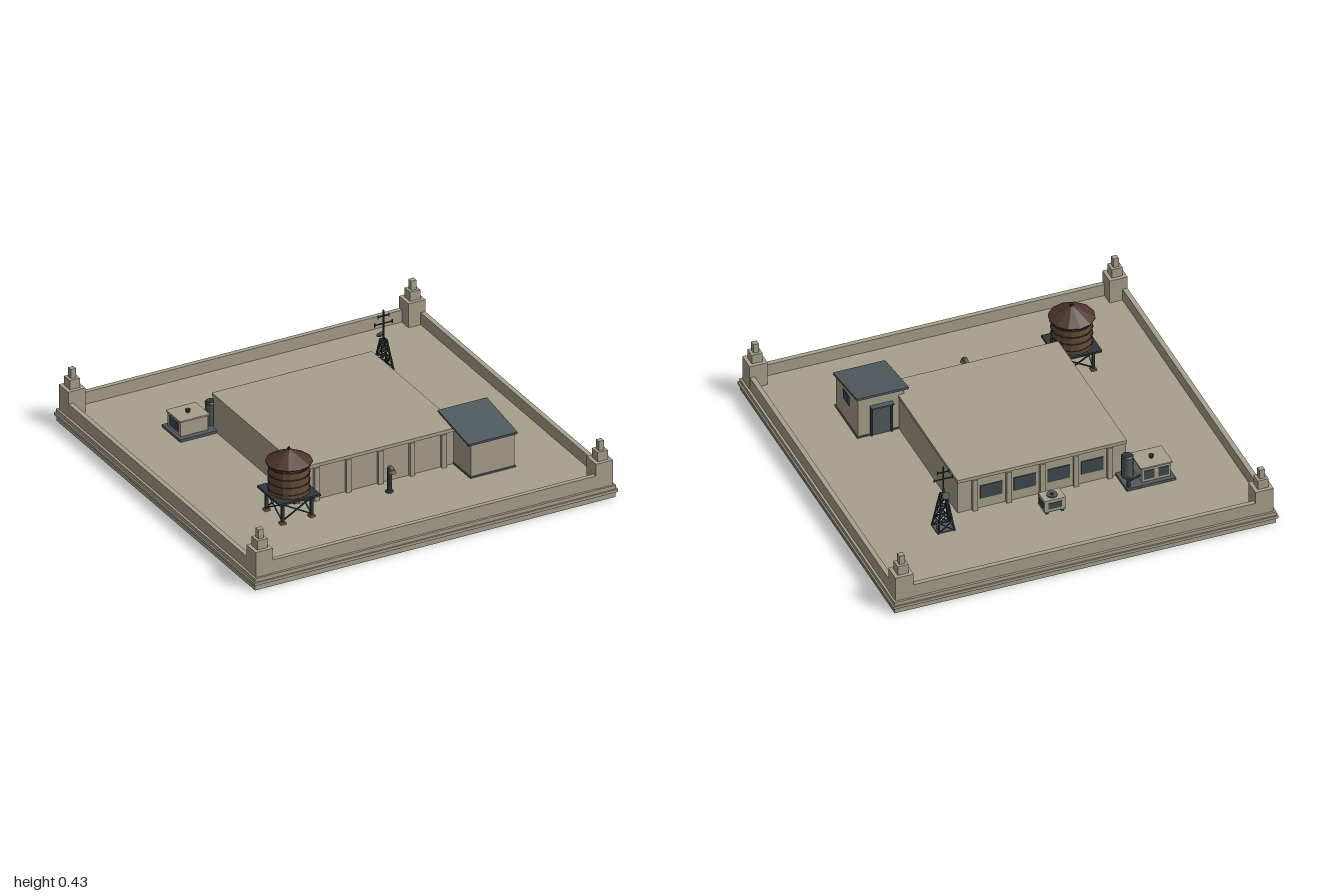
import * as THREE from 'three';

const mat = (name, color, extra = {}) => Object.assign(new THREE.MeshStandardMaterial({ color, ...extra }), { name });

export function createModel() {
  const root = new THREE.Group();
  root.name = 'rooftop';
  const stone = mat('stone', 0xa8a08c);
  const slate = mat('slate metal', 0x50595d);
  const glass = mat('dark glass', 0x3d494f);
  const wood = mat('barrel wood', 0x684c33);
  const rust = mat('rust roof', 0x4d342d);
  const iron = mat('dark iron', 0x30363a);
  const copper = mat('copper', 0x87603f);
  const FLOOR = 0.07;

  const group = (name, x = 0, y = 0, z = 0) => {
    const g = new THREE.Group();
    g.name = name;
    g.position.set(x, y, z);
    root.add(g);
    return g;
  };
  const add = (parent, name, geo, m, x = 0, y = 0, z = 0) => {
    const mesh = new THREE.Mesh(geo, m);
    mesh.name = name;
    mesh.position.set(x, y, z);
    parent.add(mesh);
    return mesh;
  };
  // box given by its centre in x and z, and its bottom and top
  const box = (p, name, m, x, z, w, d, y0, y1) =>
    add(p, name, new THREE.BoxGeometry(w, y1 - y0, d), m, x, (y0 + y1) / 2, z);
  const cyl = (p, name, m, x, z, r0, r1, y0, y1, n = 12) =>
    add(p, name, new THREE.CylinderGeometry(r1, r0, y1 - y0, n), m, x, (y0 + y1) / 2, z);
  // thin square bar between two points
  const bar = (p, name, m, a, b, t) => {
    const A = new THREE.Vector3(...a), B = new THREE.Vector3(...b);
    const mesh = add(p, name, new THREE.BoxGeometry(t, A.distanceTo(B), t), m);
    mesh.position.copy(A).add(B).multiplyScalar(0.5);
    mesh.quaternion.setFromUnitVectors(new THREE.Vector3(0, 1, 0), B.sub(A).normalize());
    return mesh;
  };

  // base slab, string courses and parapet
  const base = group('base');
  box(base, 'foot', stone, 0, 0, 1.98, 1.98, 0, 0.03);
  box(base, 'ledge', stone, 0, 0, 2, 2, 0.03, 0.045);
  box(base, 'upperLedge', stone, 0, 0, 1.985, 1.985, 0.045, 0.065);
  box(base, 'roofDeck', stone, 0, 0, 1.94, 1.94, 0.06, FLOOR);
  const square = (Type, h) => new Type([[-h, -h], [h, -h], [h, h], [-h, h]].map(p => new THREE.Vector2(...p)));
  const ring = square(THREE.Shape, 0.98);
  ring.holes.push(square(THREE.Path, 0.955));
  const parapet = add(base, 'parapet', new THREE.ExtrudeGeometry(ring, { depth: 0.071, bevelEnabled: false }), stone, 0, 0.064, 0);
  parapet.rotation.x = -Math.PI / 2;
  for (const sx of [-1, 1]) for (const sz of [-1, 1]) {
    const post = group('cornerPost', sx * 0.935, 0, sz * 0.935);
    box(post, 'lowerTier', stone, 0, 0, 0.094, 0.094, 0.065, 0.2);
    box(post, 'middleTier', stone, 0, 0, 0.056, 0.056, 0.2, 0.25);
    box(post, 'topTier', stone, 0, 0, 0.028, 0.028, 0.25, 0.3);
  }

  // main block with pilasters, and windows at the back
  const hall = group('mainBlock');
  box(hall, 'walls', stone, 0, 0, 0.875, 0.86, FLOOR, 0.25);
  box(hall, 'roofSlab', stone, 0, 0, 0.88, 0.88, 0.25, 0.268);
  for (let i = -2; i <= 2; i++) for (const s of [-1, 1])
    box(hall, 'pilaster', stone, i * 0.175, s * 0.435, 0.026, 0.026, FLOOR, 0.25);
  for (let i = -1.5; i <= 1.5; i++)
    box(hall, 'window', glass, i * 0.175, -0.431, 0.115, 0.008, 0.125, 0.2);

  // stair hut with a sloping roof
  const hut = group('stairHut');
  const profile = new THREE.Shape([[-0.6, FLOOR], [-0.32, FLOOR], [-0.32, 0.294], [-0.6, 0.252]].map(p => new THREE.Vector2(...p)));
  const hutGeo = new THREE.ExtrudeGeometry(profile, { depth: 0.24, bevelEnabled: false });
  hutGeo.rotateY(Math.PI / 2);
  add(hut, 'hutWalls', hutGeo, stone, 0.41, 0, 0);
  box(hut, 'hutPlinth', slate, 0.53, 0.46, 0.25, 0.29, FLOOR, 0.078);
  const slope = add(hut, 'hutRoof', new THREE.BoxGeometry(0.27, 0.011, 0.31), slate, 0.525, 0.281, 0.46);
  slope.rotation.x = 0.148;
  box(hut, 'hutFascia', iron, 0.525, 0.608, 0.27, 0.008, 0.251, 0.262);
  box(hut, 'sideWindowFrame', iron, 0.651, 0.465, 0.006, 0.074, 0.19, 0.24);
  box(hut, 'sideWindow', glass, 0.653, 0.465, 0.006, 0.064, 0.195, 0.235);
  box(hut, 'door', slate, 0.53, 0.317, 0.095, 0.008, FLOOR, 0.225);
  for (const s of [-1, 1]) box(hut, 'doorJamb', iron, 0.53 + s * 0.052, 0.314, 0.01, 0.014, FLOOR, 0.235);
  box(hut, 'doorCanopy', slate, 0.53, 0.306, 0.116, 0.03, 0.235, 0.243);

  // water tower
  const tower = group('waterTower', -0.53, 0, 0.492);
  for (const sx of [-1, 1]) for (const sz of [-1, 1]) {
    box(tower, 'towerLeg', iron, sx * 0.08, sz * 0.08, 0.014, 0.014, FLOOR, 0.185);
    box(tower, 'towerFoot', copper, sx * 0.08, sz * 0.08, 0.028, 0.028, FLOOR, 0.08);
  }
  for (const s of [-1, 1]) for (const t of [-1, 1]) {
    bar(tower, 'towerBrace', iron, [-0.08 * t, 0.085, s * 0.08], [0.08 * t, 0.175, s * 0.08], 0.006);
    bar(tower, 'towerBrace', iron, [s * 0.08, 0.085, -0.08 * t], [s * 0.08, 0.175, 0.08 * t], 0.006);
  }
  for (const x of [-0.08, -0.027, 0.027, 0.08]) box(tower, 'joist', wood, x, 0, 0.014, 0.2, 0.176, 0.188);
  box(tower, 'platform', iron, 0, 0, 0.226, 0.226, 0.187, 0.198);
  wood.flatShading = rust.flatShading = true;
  cyl(tower, 'barrel', wood, 0, 0, 0.102, 0.098, 0.198, 0.358, 16);
  for (const y of [0.215, 0.255, 0.295, 0.335]) cyl(tower, 'hoop', iron, 0, 0, 0.1045, 0.1045, y, y + 0.005, 16);
  cyl(tower, 'eave', rust, 0, 0, 0.116, 0.116, 0.354, 0.359, 12);
  cyl(tower, 'towerRoof', rust, 0, 0, 0.116, 0.008, 0.359, 0.42, 12);
  cyl(tower, 'finial', rust, 0, 0, 0.009, 0.005, 0.418, 0.433, 8);

  // gooseneck vent pipe
  const vent = group('ventPipe', 0, 0, 0.532);
  cyl(vent, 'ventFlange', slate, 0, 0, 0.02, 0.02, FLOOR, 0.077);
  cyl(vent, 'ventStem', iron, 0, 0, 0.012, 0.012, FLOOR, 0.19);
  const neck = new THREE.CatmullRomCurve3([[0, 0.185, 0], [0, 0.203, 0.005], [0, 0.205, 0.02], [0, 0.19, 0.028]].map(p => new THREE.Vector3(...p)));
  add(vent, 'ventNeck', new THREE.TubeGeometry(neck, 10, 0.012, 10), slate);
  cyl(vent, 'ventHood', copper, 0, 0.028, 0.021, 0.014, 0.184, 0.202);

  // lattice antenna mast
  const mast = group('antennaMast', 0.545, 0, -0.515);
  const half = y => 0.042 - (y - FLOOR) / 0.2 * 0.03;
  box(mast, 'mastBase', slate, 0, 0, 0.094, 0.084, FLOOR, 0.077);
  const levels = [0.07, 0.125, 0.175, 0.225, 0.27];
  const corners = [[-1, -1], [1, -1], [1, 1], [-1, 1]];
  corners.forEach((c, i) => {
    const d = corners[(i + 1) % 4];
    const at = (k, y) => [k[0] * half(y), y, k[1] * half(y)];
    bar(mast, 'mastLeg', iron, at(c, FLOOR), at(c, 0.27), 0.007);
    for (let j = 0; j < 4; j++) {
      const [y0, y1] = [levels[j], levels[j + 1]];
      bar(mast, 'mastRung', iron, at(c, y1), at(d, y1), 0.005);
      bar(mast, 'mastBrace', iron, at(c, y0), at(d, y1), 0.004);
      bar(mast, 'mastBrace', iron, at(d, y0), at(c, y1), 0.004);
    }
  });
  cyl(mast, 'antennaPole', iron, 0, 0, 0.005, 0.004, 0.26, 0.43, 6);
  for (const [y, r] of [[0.358, 0.048], [0.398, 0.03]]) {
    bar(mast, 'antennaArm', iron, [-r, y, 0], [r, y, 0], 0.005);
    for (const s of [-1, 1]) bar(mast, 'antennaTip', iron, [s * r, y - 0.01, 0], [s * r, y + 0.01, 0], 0.004);
  }
  const dish = add(mast, 'dish', new THREE.CylinderGeometry(0.02, 0.008, 0.01, 12), slate, 0, 0.28, -0.03);
  dish.rotation.x = -1.2;

  // small cooling unit
  const cooler = group('coolingUnit', 0, 0, -0.563);
  for (const s of [-1, 1]) box(cooler, 'coolerSkid', iron, s * 0.04, 0, 0.014, 0.08, FLOOR, 0.082);
  box(cooler, 'coolerBody', stone, 0, 0, 0.11, 0.082, 0.082, 0.148);
  cyl(cooler, 'fanRing', slate, 0, 0, 0.027, 0.027, 0.148, 0.154, 16);
  cyl(cooler, 'fanHub', iron, 0, 0, 0.01, 0.01, 0.154, 0.158, 10);
  box(cooler, 'coolerGrille', glass, 0, -0.041, 0.07, 0.006, 0.098, 0.132);
  for (const s of [-1, 1]) box(cooler, 'sideGrille', glass, s * 0.055, 0, 0.005, 0.05, 0.098, 0.132);

  // large plant unit on its pad
  const plant = group('plantUnit');
  box(plant, 'pad', slate, -0.512, -0.483, 0.256, 0.184, FLOOR, 0.084);
  box(plant, 'plantBody', stone, -0.547, -0.485, 0.15, 0.13, 0.084, 0.162);
  box(plant, 'plantTop', stone, -0.547, -0.485, 0.164, 0.142, 0.162, 0.17);
  cyl(plant, 'plantCap', iron, -0.547, -0.485, 0.01, 0.013, 0.17, 0.186, 10);
  for (const x of [-0.585, -0.51]) box(plant, 'plantGrille', glass, x, -0.55, 0.055, 0.006, 0.098, 0.148);
  box(plant, 'sideLouvre', glass, -0.622, -0.485, 0.006, 0.09, 0.098, 0.148);
  cyl(plant, 'tank', slate, -0.428, -0.472, 0.029, 0.029, 0.084, 0.2, 16);
  cyl(plant, 'tankLid', iron, -0.428, -0.472, 0.031, 0.024, 0.2, 0.208, 16);
  cyl(plant, 'smallPipe', iron, -0.4, -0.555, 0.01, 0.01, 0.084, 0.13, 10);
  bar(plant, 'feedPipe', iron, [-0.475, 0.115, -0.53], [-0.4, 0.115, -0.555], 0.008);

  return root;
}
